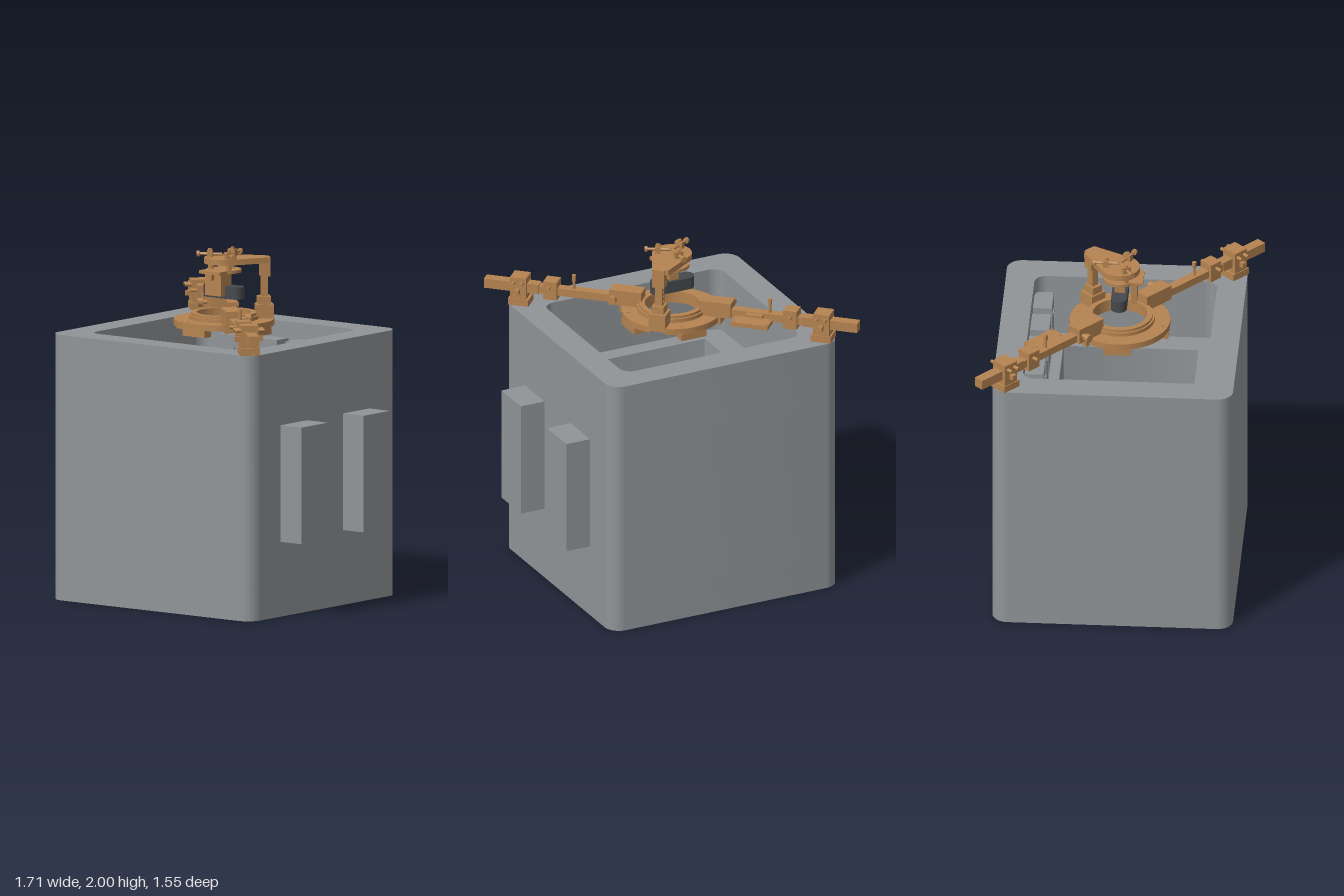
import * as THREE from 'three';
import { toCreasedNormals } from 'three/addons/utils/BufferGeometryUtils.js';

const GREY = new THREE.MeshStandardMaterial({ color: 0x909497 });
const BRONZE = new THREE.MeshStandardMaterial({ color: 0xb58350 });
const DARK = new THREE.MeshStandardMaterial({ color: 0x45484c });
const rad = THREE.MathUtils.degToRad;

function add(parent, name, geometry, material, x = 0, y = 0, z = 0) {
  const mesh = new THREE.Mesh(geometry, material);
  mesh.name = name;
  mesh.position.set(x, y, z);
  parent.add(mesh);
  return mesh;
}

// Box given by its extents on each axis
function block(parent, name, [x0, x1], [y0, y1], [z0, z1], material = BRONZE) {
  return add(parent, name, new THREE.BoxGeometry(x1 - x0, y1 - y0, z1 - z0), material,
    (x0 + x1) / 2, (y0 + y1) / 2, (z0 + z1) / 2);
}

// Upright cylinder between two heights
function post(parent, name, r, x, z, y0, y1, material = BRONZE) {
  const g = toCreasedNormals(new THREE.CylinderGeometry(r, r, y1 - y0, 24), 0.6);
  return add(parent, name, g, material, x, (y0 + y1) / 2, z);
}

// Horizontal cylinder along x or z
function rod(parent, name, r, length, axis, x, y, z) {
  const g = new THREE.CylinderGeometry(r, r, length, 16);
  if (axis === 'x') g.rotateZ(Math.PI / 2);
  else g.rotateX(Math.PI / 2);
  return add(parent, name, toCreasedNormals(g, 0.6), BRONZE, x, y, z);
}

// Plan shape (x, -z) extruded between two heights
function slab(parent, name, shape, y0, y1, material = BRONZE) {
  const g = new THREE.ExtrudeGeometry(shape, { depth: y1 - y0, bevelEnabled: false, curveSegments: 32 });
  g.rotateX(-Math.PI / 2);
  return add(parent, name, toCreasedNormals(g, 0.6), material, 0, y0, 0);
}

function roundRect(x0, x1, y0, y1, r, Type = THREE.Shape) {
  const s = new Type();
  s.absarc(x1 - r, y1 - r, r, 0, Math.PI / 2);
  s.absarc(x0 + r, y1 - r, r, Math.PI / 2, Math.PI);
  s.absarc(x0 + r, y0 + r, r, Math.PI, Math.PI * 1.5);
  s.absarc(x1 - r, y0 + r, r, Math.PI * 1.5, Math.PI * 2);
  s.closePath();
  return s;
}

function ringShape(outer, inner) {
  const s = new THREE.Shape().absarc(0, 0, outer, 0, Math.PI * 2);
  s.holes.push(new THREE.Path().absarc(0, 0, inner, 0, Math.PI * 2));
  return s;
}

function buildTank() {
  const tank = new THREE.Group();
  tank.name = 'tank';
  const outline = () => roundRect(-0.755, 0.7, -0.685, 0.685, 0.09);

  // Solid floor, stepped pit and upper wall
  slab(tank, 'tankFloor', outline(), 0, 0.2, GREY);
  const lower = outline();
  lower.holes.push(roundRect(-0.45, 0.395, -0.42, 0.35, 0.005, THREE.Path));
  slab(tank, 'lowerWall', lower, 0.2, 1.15, GREY);
  const upper = outline();
  upper.holes.push(roundRect(-0.59, 0.535, -0.52, 0.52, 0.07, THREE.Path));
  slab(tank, 'upperWall', upper, 1.15, 1.525, GREY);

  // Boxes on the side wall
  for (const z of [-0.287, 0.287]) {
    block(tank, 'sideBox', [0.69, 0.85], [0.43, 1.1], [z - 0.122, z + 0.122], GREY);
  }
  // Boxes along the inner back wall, each with a small knob
  for (let i = 0; i < 4; i++) {
    const x = -0.3 + i * 0.242;
    block(tank, 'innerBox', [x - 0.09, x + 0.09], [1.15, 1.43], [-0.525, -0.412], GREY);
    block(tank, 'innerBoxKnob', [x - 0.03, x + 0.03], [1.34, 1.36], [-0.415, -0.405], GREY);
  }
  return tank;
}

// One support arm, running outward along +x
function buildArm() {
  const arm = new THREE.Group();
  arm.name = 'supportArm';
  block(arm, 'beam', [0.3, 0.8], [1.605, 1.65], [-0.027, 0.027]);
  block(arm, 'beamEnd', [0.78, 1.105], [1.6, 1.657], [-0.03, 0.03]);
  // Clamp gripping the ring
  block(arm, 'ringClamp', [0.17, 0.36], [1.6, 1.69], [-0.045, 0.045]);
  block(arm, 'ringClampLip', [0.2, 0.3], [1.555, 1.6], [-0.04, 0.04]);
  rod(arm, 'clampScrew', 0.012, 0.13, 'z', 0.33, 1.645, -0.03);
  rod(arm, 'clampKnob', 0.024, 0.03, 'z', 0.33, 1.645, -0.085);
  // Middle clamp
  block(arm, 'middleClamp', [0.67, 0.75], [1.58, 1.69], [-0.042, 0.042]);
  rod(arm, 'middleClampScrew', 0.01, 0.16, 'z', 0.715, 1.655, 0);
  // Clamp standing on the tank rim
  block(arm, 'rimFoot', [0.835, 0.955], [1.525, 1.565], [-0.055, 0.055]);
  block(arm, 'rimClamp', [0.85, 0.945], [1.565, 1.695], [-0.05, 0.05]);
  for (const u of [0.872, 0.922]) rod(arm, 'rimClampScrew', 0.01, 0.17, 'z', u, 1.665, 0);
  block(arm, 'rimClampBar', [0.885, 0.91], [1.6, 1.63], [-0.08, 0.08]);
  // Upright locking pin
  post(arm, 'lockingPin', 0.008, 0.58, 0, 1.64, 1.735);
  post(arm, 'lockingPinCap', 0.012, 0.58, 0, 1.7, 1.735);
  return arm;
}

function buildRing() {
  const ring = new THREE.Group();
  ring.name = 'ring';
  // Flange with an open notch
  const flange = new THREE.Shape();
  flange.absarc(0, 0, 0.286, rad(54), rad(398), false);
  flange.absarc(0, 0, 0.19, rad(398), rad(54), true);
  flange.closePath();
  slab(ring, 'flange', flange, 1.565, 1.6);
  slab(ring, 'collar', ringShape(0.198, 0.155), 1.565, 1.622);
  slab(ring, 'collarLip', ringShape(0.187, 0.155), 1.622, 1.637);
  for (let i = 0; i < 4; i++) {
    const pad = new THREE.Group();
    pad.name = 'ringPad';
    pad.rotation.y = i * Math.PI / 2;
    block(pad, 'padBlock', [0.22, 0.28], [1.525, 1.567], [-0.08, 0.08]);
    const a = rad(15);
    post(pad, 'flangeScrew', 0.009, 0.255 * Math.cos(a), 0.255 * Math.sin(a), 1.6, 1.604);
    ring.add(pad);
  }
  return ring;
}

function buildHead() {
  const head = new THREE.Group();
  head.name = 'head';

  // Column standing behind the ring centre
  const column = new THREE.Group();
  column.name = 'column';
  column.position.set(0.162, 0, -0.165);
  column.rotation.y = rad(45);
  block(column, 'columnBase', [-0.05, 0.05], [1.575, 1.68], [-0.05, 0.05]);
  block(column, 'columnSocket', [-0.04, 0.035], [1.68, 1.725], [-0.035, 0.035]);
  block(column, 'columnShaft', [-0.02, 0.02], [1.72, 1.86], [-0.022, 0.022]);
  block(column, 'columnTop', [-0.025, 0.03], [1.84, 1.95], [-0.035, 0.035]);
  for (let i = 0; i < 4; i++) rod(column, 'columnScrew', 0.008, 0.05, 'z', 0, 1.745 + i * 0.03, 0);
  head.add(column);

  // Tear-shaped carrying plate
  const plate = new THREE.Shape();
  plate.moveTo(0.13, 0.212);
  plate.lineTo(0.205, 0.155);
  plate.absarc(0, 0, 0.113, rad(-33), rad(127), true);
  plate.closePath();
  slab(head, 'topPlate', plate, 1.917, 1.95);

  // Three radial thumb screws with spacers below the plate
  for (const a of [90, 210, 330]) {
    const station = new THREE.Group();
    station.name = 'adjuster';
    station.rotation.y = rad(a);
    block(station, 'adjusterBlock', [0.065, 0.095], [1.95, 1.99], [-0.024, 0.024]);
    rod(station, 'adjusterRod', 0.009, 0.14, 'x', 0.08, 1.968, 0);
    rod(station, 'adjusterKnob', 0.017, 0.016, 'x', 0.148, 1.968, 0);
    post(station, 'adjusterPin', 0.011, 0.08, 0, 1.94, 2.0);
    post(station, 'spacer', 0.016, 0.075, 0, 1.87, 1.92);
    head.add(station);
  }
  post(head, 'lowerDisc', 0.1, 0, 0, 1.866, 1.884);

  // Bracket hanging in front, and the dark sensor body
  block(head, 'bracketTop', [-0.075, 0.075], [1.866, 1.884], [0.05, 0.135]);
  block(head, 'bracketPlate', [-0.058, 0.058], [1.74, 1.87], [0.065, 0.1]);
  block(head, 'bracketRib', [-0.008, 0.008], [1.83, 1.87], [0.1, 0.125]);
  block(head, 'hanger', [-0.03, 0.03], [1.785, 1.87], [-0.03, 0.03]);
  slab(head, 'sensorBody', roundRect(-0.135, 0.135, -0.045, 0.045, 0.044), 1.72, 1.79, DARK);
  return head;
}

export function createModel() {
  const model = new THREE.Group();
  model.name = 'tankWithRig';
  model.add(buildTank());

  const rig = new THREE.Group();
  rig.name = 'rig';
  rig.position.set(-0.028, 0, 0);
  rig.add(buildRing(), buildHead());

  // Two opposite arms on the tank's diagonal
  const arms = new THREE.Group();
  arms.name = 'arms';
  arms.rotation.y = rad(-43);
  const far = buildArm();
  far.rotation.y = Math.PI;
  arms.add(buildArm(), far);

  // Small instrument plate beside the back arm
  block(arms, 'instrumentPlate', [-0.61, -0.39], [1.605, 1.63], [-0.15, -0.05]);
  block(arms, 'instrumentMount', [-0.55, -0.45], [1.61, 1.645], [-0.06, -0.02]);
  for (const u of [-0.595, -0.405]) {
    for (const v of [-0.138, -0.062]) post(arms, 'plateScrew', 0.006, u, v, 1.63, 1.636);
  }
  rig.add(arms);
  model.add(rig);
  return model;
}
